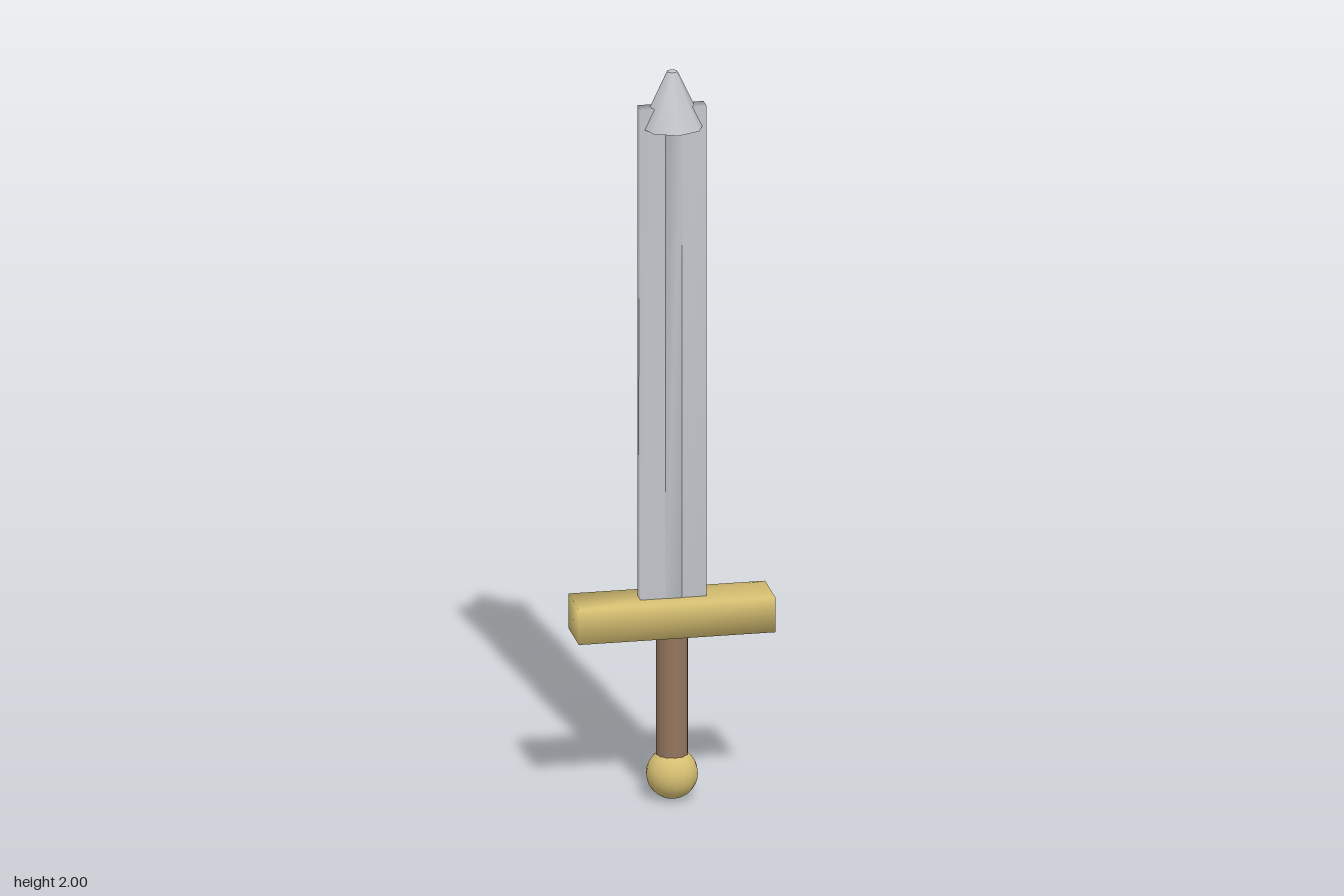
import * as THREE from 'three';
import { mergeVertices } from 'three/addons/utils/BufferGeometryUtils.js';

const steel = new THREE.MeshStandardMaterial({ color: 0xc4c6cc });
const gold = new THREE.MeshStandardMaterial({ color: 0xd6bf72 });
const leather = new THREE.MeshStandardMaterial({ color: 0x94765e });

// Share corner vertices so the shading runs softly over the edges
function soften(geometry) {
  geometry.deleteAttribute('normal');
  geometry.deleteAttribute('uv');
  const soft = mergeVertices(geometry);
  soft.computeVertexNormals();
  return soft;
}

export function createModel() {
  const sword = new THREE.Group();
  sword.name = 'sword';

  function add(name, geometry, material, y) {
    const mesh = new THREE.Mesh(geometry, material);
    mesh.name = name;
    mesh.position.y = y;
    sword.add(mesh);
  }
  const softBox = (w, h, d) => soften(new THREE.BoxGeometry(w, h, d));

  // Pommel and grip
  add('pommel', new THREE.SphereGeometry(0.068, 20, 14), gold, 0.068);
  add('grip', new THREE.CylinderGeometry(0.042, 0.042, 0.36, 12), leather, 0.29);

  // Crossguard
  add('crossguard', softBox(0.522, 0.096, 0.136), gold, 0.508);

  // Flat blade with a slim raised rib along both faces
  add('blade', softBox(0.176, 1.38, 0.042), steel, 1.215);
  add('bladeRib', softBox(0.044, 1.34, 0.045), steel, 1.195);

  // Eight-sided point, its ridges in line with the blade
  add('bladeTip', new THREE.CylinderGeometry(0.014, 0.085, 0.15, 8), steel, 1.925);

  return sword;
}
